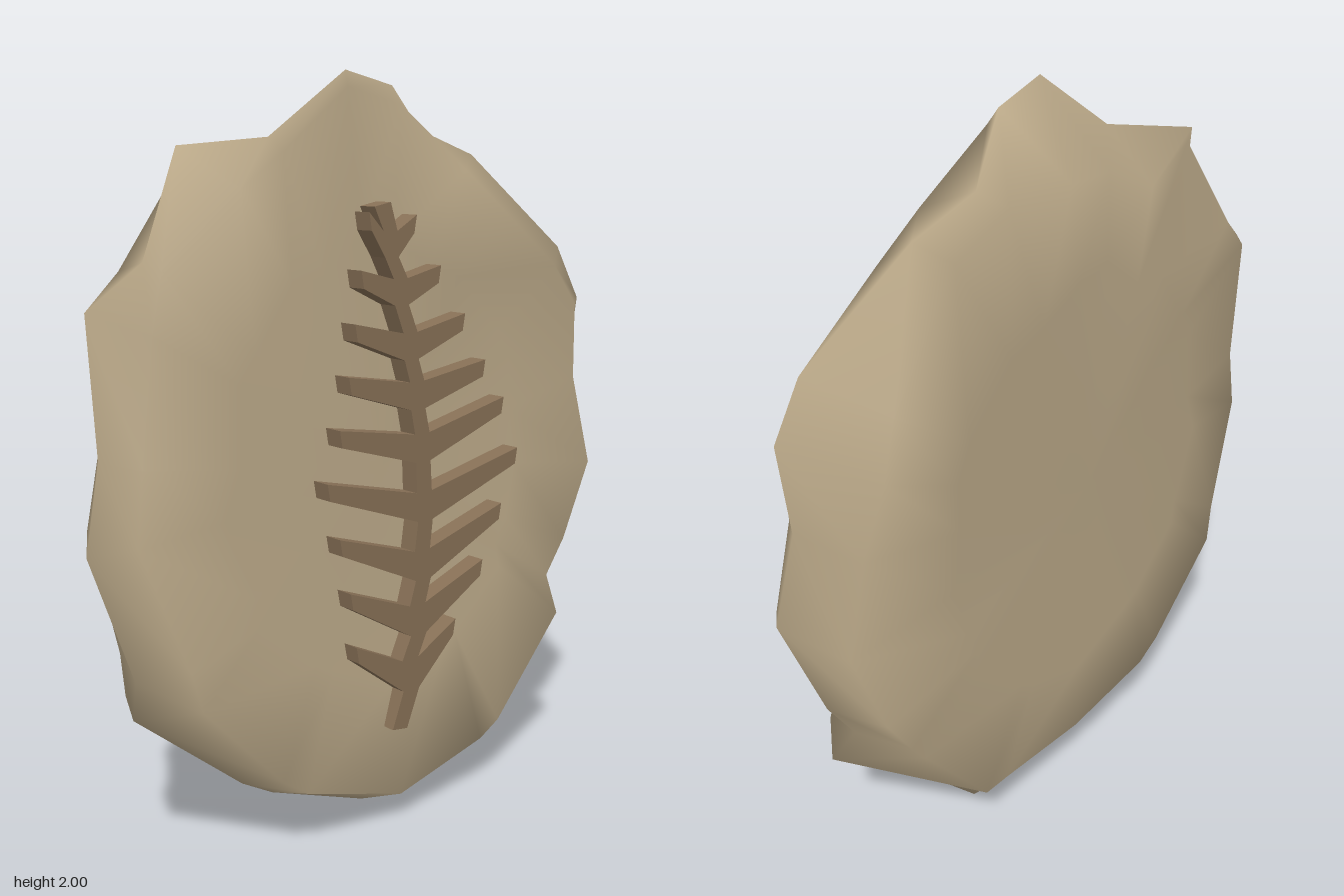
import * as THREE from 'three';

// Slab rim, clockwise from the top: x, y, z of the widest edge, front rim scale, front rim z, back rim scale
const RIM = [
  [-0.10, 2.00, 0.08, 0.96, 0.085, 0.82],
  [0.08, 1.97, 0.05, 0.95, 0.09, 0.86],
  [0.30, 1.865, -0.08, 0.88, 0.135, 0.98],
  [0.48, 1.80, -0.06, 0.82, 0.15, 0.97],
  [0.73, 1.54, 0.05, 0.91, 0.10, 0.91],
  [0.80, 1.39, 0.07, 0.96, 0.09, 0.88],
  [0.80, 1.17, 0.04, 0.95, 0.10, 0.96],
  [0.84, 0.90, 0.09, 0.96, 0.13, 0.97],
  [0.78, 0.65, 0.01, 0.89, 0.14, 0.95],
  [0.71, 0.53, 0.00, 0.87, 0.145, 0.95],
  [0.735, 0.41, 0.07, 0.91, 0.145, 0.86],
  [0.44, 0.15, 0.03, 0.95, 0.15, 0.94],
  [0.37, 0.10, -0.08, 0.94, 0.15, 0.89],
  [0.04, 0.00, -0.02, 0.92, 0.15, 0.82],
  [-0.30, 0.14, 0.01, 0.95, 0.15, 0.91],
  [-0.39, 0.19, 0.00, 0.94, 0.15, 0.92],
  [-0.68, 0.43, -0.05, 0.89, 0.15, 0.95],
  [-0.70, 0.55, 0.00, 0.90, 0.14, 0.94],
  [-0.84, 0.90, 0.04, 0.88, 0.10, 0.88],
  [-0.76, 1.10, -0.03, 0.94, 0.09, 0.92],
  [-0.74, 1.44, -0.10, 0.91, 0.085, 0.97],
  [-0.66, 1.56, 0.03, 0.97, 0.08, 0.94],
  [-0.47, 1.82, -0.11, 0.88, 0.075, 0.96],
  [-0.30, 1.84, 0.03, 0.96, 0.075, 0.87],
];

// Stone: closed loops running from the front centre, over the rim, to the back centre
function slabGeometry() {
  const n = RIM.length, pos = [], index = [];
  const frontZ = (x, y) => 0.136 - 0.028 * y;
  // The back bends forward near both sides and at the upper left corner
  const backZ = (x, y) => -0.172 + 0.09 * Math.max(0, -x - 0.3) + 0.35 * Math.max(0, x - 0.72)
    + 0.3 * Math.max(0, y - 1.55) * Math.max(0, 0.2 - x);
  const add = (x, y, s, z) => {
    const px = x * s, py = 1 + (y - 1) * s;
    pos.push(px, py, typeof z === 'function' ? z(px, py) : z);
  };
  const rings = [
    () => [0.6, frontZ],
    p => [p[3], p[4]],
    p => [1, p[2]],
    p => [p[5], backZ],
    () => [0.6, backZ],
  ];
  for (const ring of rings) for (const p of RIM) add(p[0], p[1], ...ring(p));
  const front = pos.length / 3;
  pos.push(0, 1, frontZ(0, 1), 0, 1, backZ(0, 1));
  const last = (rings.length - 1) * n;
  for (let j = 0; j < n; j++) {
    const k = (j + 1) % n;
    index.push(front, k, j, front + 1, last + j, last + k);
    for (let r = 0; r < last; r += n) {
      index.push(r + j, r + n + k, r + n + j, r + j, r + k, r + n + k);
    }
  }
  const g = new THREE.BufferGeometry();
  g.setAttribute('position', new THREE.Float32BufferAttribute(pos, 3));
  g.setIndex(index);
  g.computeVertexNormals();
  return g;
}

// Fern leaflets from the bottom: stem x, base y, right tip x, y, left tip x, y
const LEAFLETS = [
  [0.055, 0.42, 0.218, 0.53, -0.14, 0.53],
  [0.08, 0.57, 0.32, 0.68, -0.16, 0.68],
  [0.095, 0.72, 0.39, 0.83, -0.195, 0.83],
  [0.10, 0.88, 0.45, 0.98, -0.235, 0.98],
  [0.09, 1.04, 0.39, 1.13, -0.195, 1.11],
  [0.07, 1.18, 0.315, 1.24, -0.165, 1.24],
  [0.045, 1.31, 0.235, 1.37, -0.145, 1.37],
  [0.01, 1.45, 0.145, 1.50, -0.125, 1.50],
  [-0.025, 1.57, 0.058, 1.63, -0.10, 1.64],
];

// Fern: one outline, up the right side and down the left
function fernGeometry() {
  const side = sign => LEAFLETS.flatMap(([x, y, rx, ry, lx, ly], i) => {
    const [tx, ty] = sign > 0 ? [rx, ry] : [lx, ly];
    const half = 0.029 - 0.0008 * i, base = 0.044 - 0.0015 * i;
    return [
      [x + sign * half, y - base + 0.012],
      [tx - sign * 0.008, ty - 0.023],
      [tx, ty + 0.022],
      [x + sign * half - 0.005, y + base + 0.012],
    ];
  });
  const outline = [
    [-0.012, 0.288], [0.04, 0.28],
    ...side(1),
    [-0.03, 1.685], [-0.083, 1.675],
    ...side(-1).reverse(),
  ];
  const shape = new THREE.Shape(outline.map(p => new THREE.Vector2(...p)));
  const g = new THREE.ExtrudeGeometry(shape, { depth: 0.055, bevelEnabled: false });
  g.translate(0, 0, 0.115);
  return g;
}

export function createModel() {
  const group = new THREE.Group();
  group.name = 'fernFossil';
  const add = (name, geometry, color) => {
    const mesh = new THREE.Mesh(geometry, new THREE.MeshStandardMaterial({ color }));
    mesh.name = name;
    group.add(mesh);
  };
  add('stoneSlab', slabGeometry(), 0xbaa888);
  add('fernImprint', fernGeometry(), 0x877056);
  return group;
}
